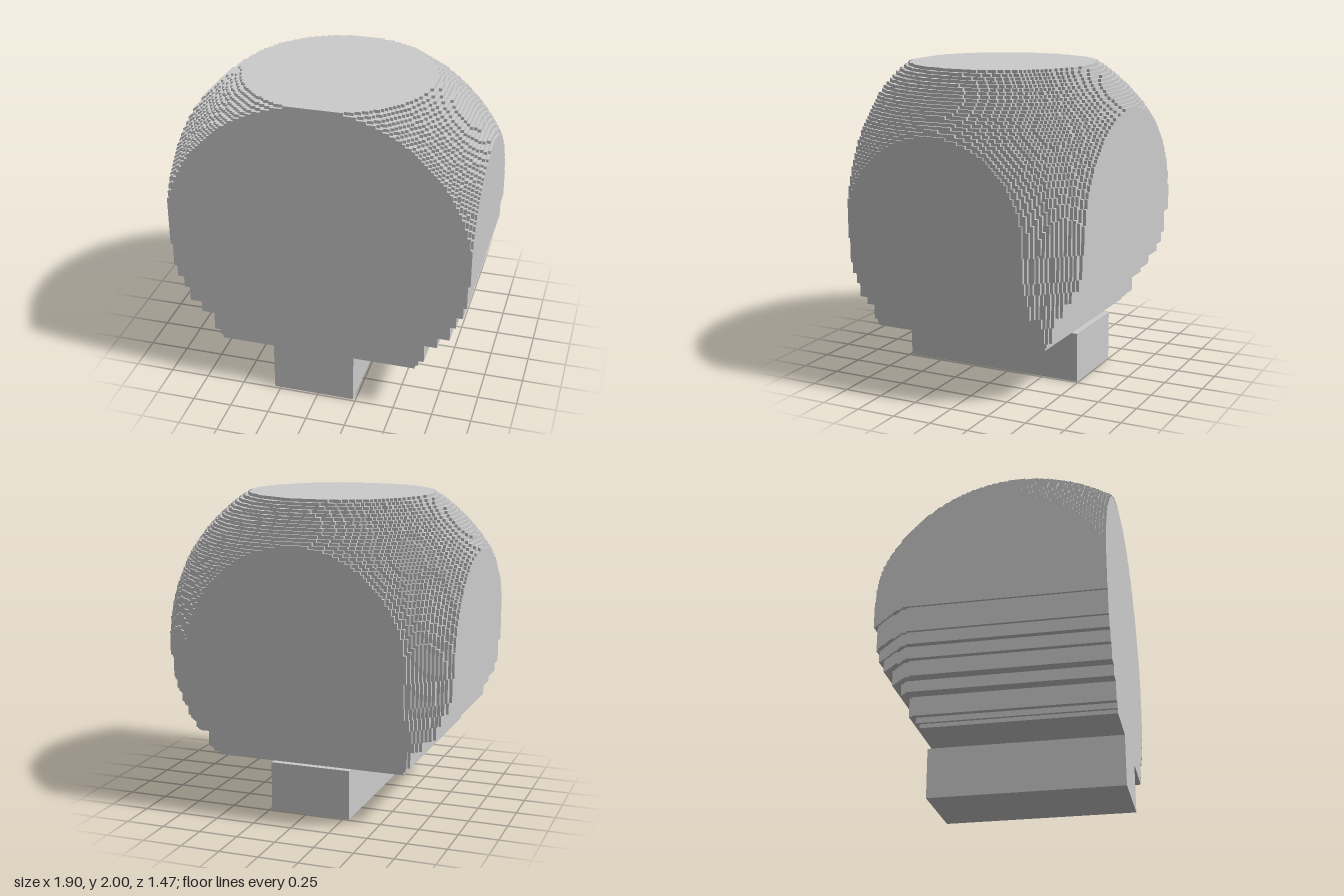
import * as THREE from 'three';

const STEP = 0.0191;                                  // size of one block
const CENTRE = { x: -0.01, y: 1.035, z: 0.15 }, RADIUS = 1.13;
const HALF_X = 0.95, HALF_Z = 0.735;

// Tall lower tiers: bottom, top, half width, back limit
const TIERS = [
  [0.32, 0.345, 0.63, -0.45], [0.345, 0.38, 0.65, -0.47], [0.38, 0.5, 0.685, -0.505],
  [0.5, 0.57, 0.765, -0.545], [0.57, 0.665, 0.84, -0.605], [0.665, 0.74, 0.875, -0.66],
  [0.74, 0.815, 0.915, -0.70], [0.815, 0.97, 0.935, -0.72],
];

function crownLayers() {
  const layers = TIERS.map(([y0, y1, w, back]) => ({ y0, y1, w, back, sample: y0 }));
  const count = 54, h = (2 - 0.97) / count;
  for (let i = 0; i < count; i++) {
    const y0 = 0.97 + i * h;
    layers.push({ y0, y1: y0 + h, w: HALF_X, back: -HALF_Z, sample: y0 + h / 2 });
  }
  return layers;
}

// Blocky sphere cut flat by a box: every row is one run of blocks along x
function crownGeometry() {
  const layers = crownLayers();
  const rows = 77, dz = (2 * HALF_Z) / rows;
  const snap = (v) => Math.round(v / STEP) * STEP;
  const runs = layers.map((l) => Array.from({ length: rows }, (_, k) => {
    const z = -HALF_Z + (k + 0.5) * dz;
    const d2 = RADIUS ** 2 - (l.sample - CENTRE.y) ** 2 - (z - CENTRE.z) ** 2;
    if (d2 <= 0 || z < l.back) return null;
    const half = Math.sqrt(d2);
    const x0 = Math.max(-l.w, snap(CENTRE.x - half)), x1 = Math.min(l.w, snap(CENTRE.x + half));
    return x1 > x0 ? [x0, x1] : null;
  }));

  const pos = [];
  const quad = (a, b, c, d) => pos.push(...a, ...b, ...c, ...a, ...c, ...d);
  // Parts of a run that its neighbour leaves uncovered
  const exposed = ([x0, x1], n) => {
    if (!n) return [[x0, x1]];
    return [[x0, Math.min(x1, n[0])], [Math.max(x0, n[1]), x1]].filter(([a, b]) => b - a > 1e-6);
  };

  layers.forEach(({ y0, y1 }, j) => {
    for (let k = 0; k < rows; k++) {
      const run = runs[j][k];
      if (!run) continue;
      const z0 = -HALF_Z + k * dz, z1 = z0 + dz, [l, r] = run;
      // ends of the run
      quad([r, y0, z1], [r, y0, z0], [r, y1, z0], [r, y1, z1]);
      quad([l, y0, z0], [l, y0, z1], [l, y1, z1], [l, y1, z0]);
      // top, underside, front and back
      for (const [a, b] of exposed(run, runs[j + 1]?.[k]))
        quad([a, y1, z1], [b, y1, z1], [b, y1, z0], [a, y1, z0]);
      for (const [a, b] of exposed(run, runs[j - 1]?.[k]))
        quad([a, y0, z0], [b, y0, z0], [b, y0, z1], [a, y0, z1]);
      for (const [a, b] of exposed(run, runs[j][k + 1]))
        quad([a, y0, z1], [b, y0, z1], [b, y1, z1], [a, y1, z1]);
      for (const [a, b] of exposed(run, runs[j][k - 1]))
        quad([b, y0, z0], [a, y0, z0], [a, y1, z0], [b, y1, z0]);
    }
  });

  const geometry = new THREE.BufferGeometry();
  geometry.setAttribute('position', new THREE.Float32BufferAttribute(pos, 3));
  geometry.computeVertexNormals();
  return geometry;
}

export function createModel() {
  const model = new THREE.Group();
  model.name = 'blockySphereOnBase';
  const material = new THREE.MeshStandardMaterial({ color: 0xcccccc, flatShading: true });

  const crown = new THREE.Mesh(crownGeometry(), material);
  crown.name = 'steppedSphere';

  // Rectangular foot, flush with the front
  const base = new THREE.Mesh(new THREE.BoxGeometry(0.525, 0.32, 1.225), material);
  base.name = 'base';
  base.position.set(-0.0275, 0.16, 0.1225);

  model.add(crown, base);
  return model;
}
